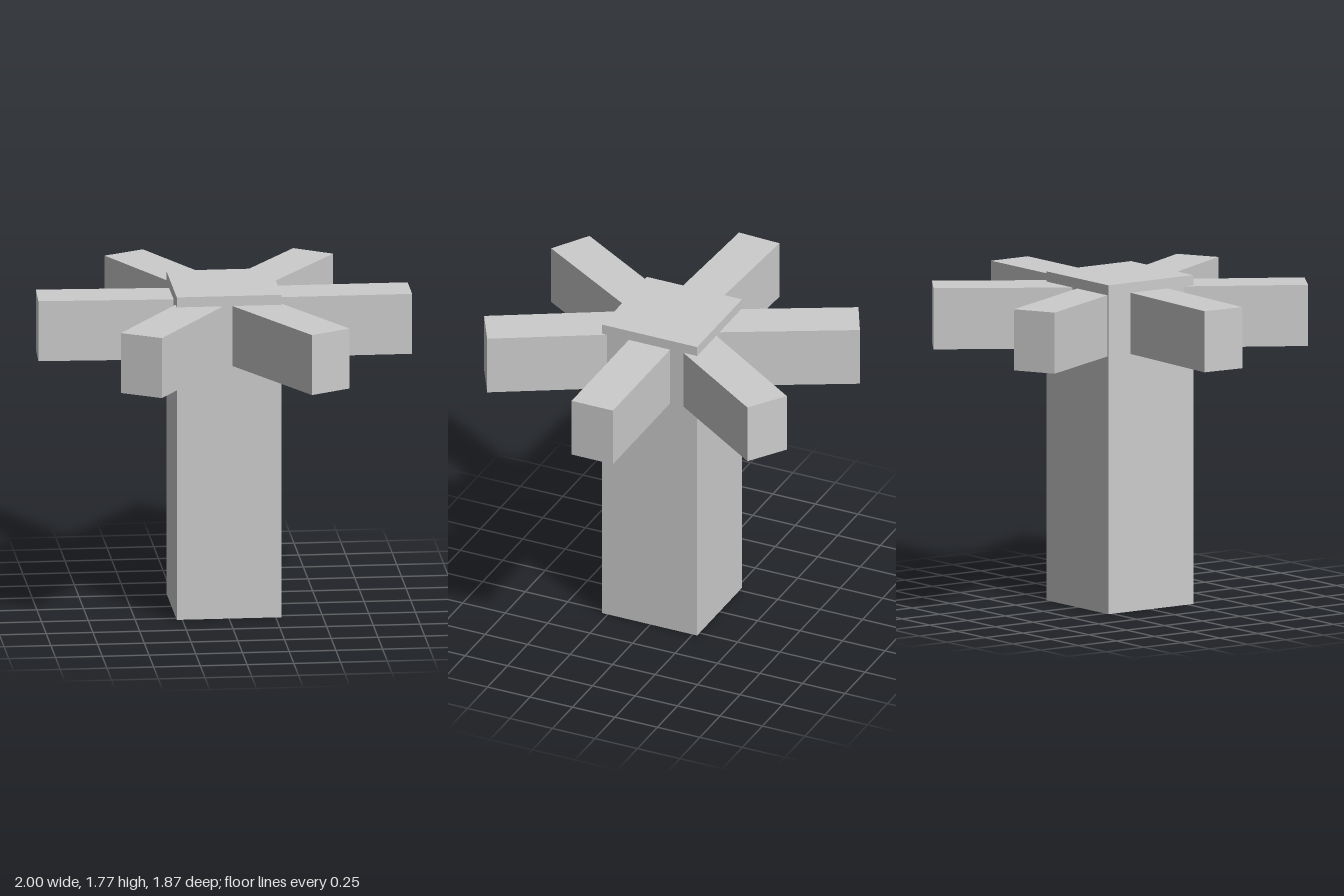
import * as THREE from 'three';

export function createModel() {
  const group = new THREE.Group();
  const material = new THREE.MeshStandardMaterial({ color: 0xcccccc, flatShading: true });

  // Square post standing on the ground
  const post = new THREE.Mesh(new THREE.BoxGeometry(0.56, 1.775, 0.56), material);
  post.name = 'post';
  post.position.set(0, 1.775 / 2, 0.004);
  group.add(post);

  // Six beams radiating from the post: outer end centre (x, z) and direction (dx, dz)
  const length = 0.9;
  const beamGeometry = new THREE.BoxGeometry(length, 0.33, 0.243);
  beamGeometry.translate(-length / 2, 0, 0); // origin at the outer end
  const beams = [
    [0.995, 0.004, 1, 0],
    [0.56, -0.82, 0.564, -0.826],
    [-0.447, -0.887, -0.455, -0.89],
    [-0.995, -0.04, -0.999, -0.046],
    [-0.525, 0.85, -0.527, 0.85],
    [0.485, 0.872, 0.487, 0.873],
  ];
  beams.forEach(([x, z, dx, dz], i) => {
    const beam = new THREE.Mesh(beamGeometry, material);
    beam.name = `beam${i + 1}`;
    beam.position.set(x, 1.555, z);
    beam.rotation.y = Math.atan2(-dz, dx);
    group.add(beam);
  });

  return group;
}
